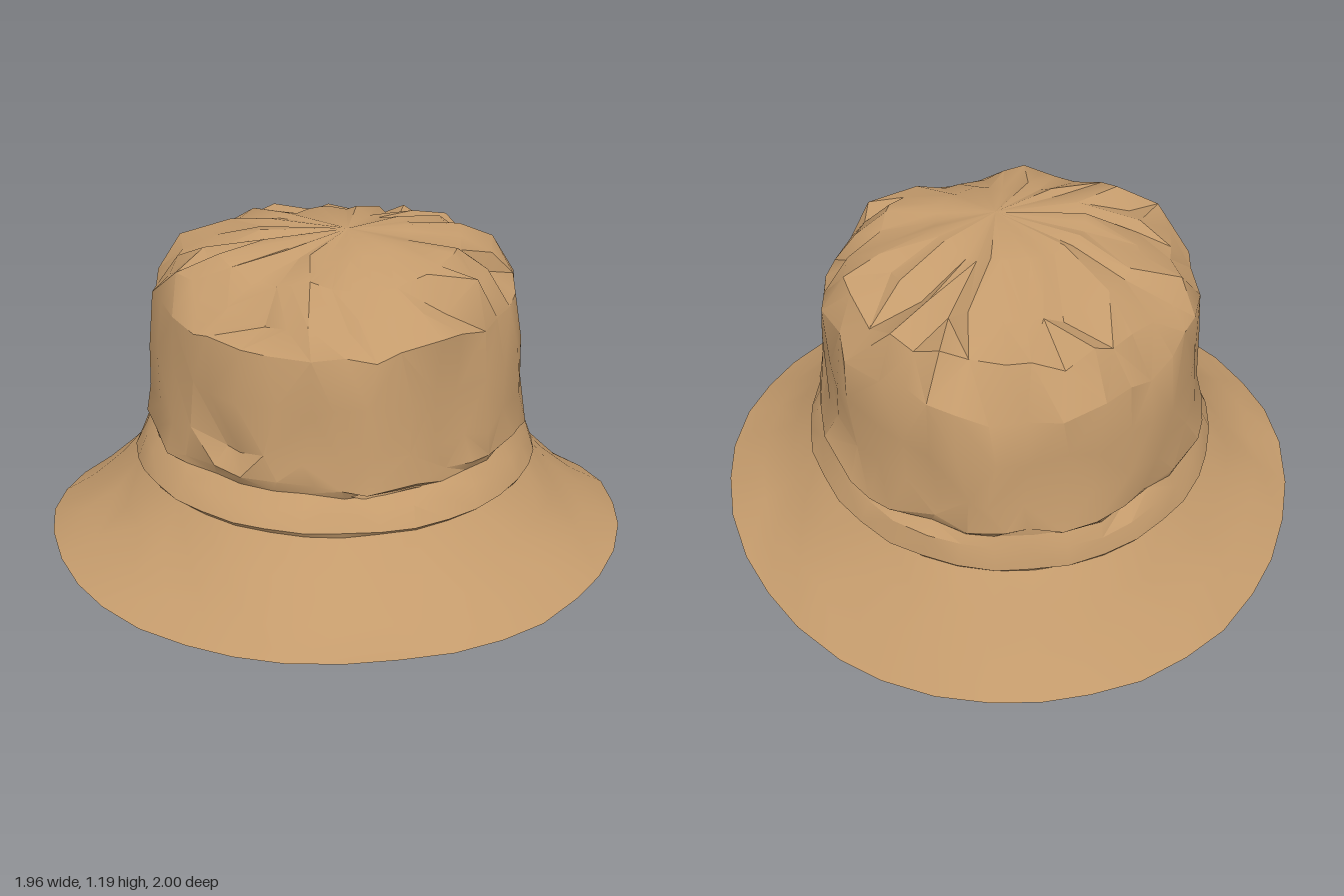
import * as THREE from 'three';
import { mergeVertices, toCreasedNormals } from 'three/addons/utils/BufferGeometryUtils.js';

const COLS = 36;

// Hat cross-section, top to rim: side radius, front z, back z, y at front / side / back, crumple
const ROWS = [
  [0, 0.0, 0.0, 1.205, 1.205, 1.205, 0],
  [0.24, 0.2, -0.25, 1.18, 1.185, 1.175, 0.012],
  [0.42, 0.36, -0.46, 1.14, 1.145, 1.1, 0.03],
  [0.55, 0.46, -0.61, 1.08, 1.085, 1.03, 0.035],
  [0.61, 0.53, -0.695, 0.98, 0.98, 0.9, 0.025],
  [0.617, 0.55, -0.715, 0.81, 0.81, 0.75, 0.02],
  [0.625, 0.565, -0.725, 0.65, 0.65, 0.6, 0.025],
  [0.645, 0.575, -0.735, 0.55, 0.54, 0.48, 0.025],
  [0.625, 0.565, -0.72, 0.53, 0.52, 0.46, 0.01],
  [0.65, 0.62, -0.74, 0.5, 0.48, 0.42, 0.008],
  [0.685, 0.66, -0.755, 0.45, 0.41, 0.35, 0.006],
  [0.67, 0.65, -0.745, 0.435, 0.4, 0.34, 0.004],
  [0.755, 0.75, -0.82, 0.335, 0.305, 0.245, 0.008],
  [0.86, 0.88, -0.905, 0.255, 0.23, 0.135, 0.01],
  [0.98, 1.0, -1.0, 0.21, 0.165, 0.012, 0.005],
];
const RIM = ROWS.length - 1;

// Pressed-in folds on the crown: x, y, z, reach, depth
const DENTS = [
  [0.1, 1.13, 0.4, 0.14, 0.06], [-0.25, 1.1, 0.4, 0.13, 0.05], [0.52, 1.08, 0.05, 0.16, 0.06],
  [-0.55, 1.08, -0.1, 0.15, 0.05], [0.1, 1.1, -0.52, 0.14, 0.04], [0.38, 0.75, 0.45, 0.14, 0.03],
  [-0.38, 0.62, 0.42, 0.13, 0.03], [-0.35, 0.5, -0.6, 0.15, 0.03], [0.35, 0.5, -0.6, 0.15, 0.03],
];

// Repeatable noise from -1 to 1
function noise(i, j, k) {
  const s = Math.sin(i * 127.1 + (j % COLS) * 311.7 + k * 74.7) * 43758.5453;
  return 2 * (s - Math.floor(s)) - 1;
}

// Point on the cloth; the inside layer is set in by the cloth thickness
function point(i, j, inside) {
  const [rx, zf, zb, yf, ys, yb, crumple] = ROWS[i];
  const u = ((j % COLS) / COLS) * Math.PI * 2 + noise(i, j, 1) * crumple * 2.2;
  const c = Math.cos(u), s = Math.sin(u);
  const p = new THREE.Vector3(
    rx * s + (i === 0 ? 0.04 : 0),
    ys + ((yf - yb) / 2) * c + ((yf + yb) / 2 - ys) * c * c,
    (zf + zb) / 2 + ((zf - zb) / 2) * c
  );
  const out = new THREE.Vector3(s, i < 4 ? 0.7 : 0, c).normalize();
  if (i > 0) p.addScaledVector(out, noise(i, j, 2) * crumple * 0.6);
  p.y += noise(i, j, 3) * crumple;
  // wavy brim edge, sagging between front and sides
  if (i > 11) p.y -= 0.022 * ((i - 11) / 3) * Math.sin(2 * u) ** 2;
  if (i > 0 && i < 9) {
    for (const [x, y, z, reach, depth] of DENTS) {
      const d = p.distanceTo(new THREE.Vector3(x, y, z));
      if (d < reach * 1.5) p.addScaledVector(out, -depth * Math.exp(-((d / reach) ** 2) * 2));
    }
  }
  if (inside && i < RIM) {
    p.x *= 0.97;
    p.z *= 0.97;
    p.y -= 0.022;
  }
  return p;
}

// Strip of cloth between two rows and two columns
function cloth(name, r0, r1, material, { inside = false, c0 = 0, c1 = COLS } = {}) {
  const pos = [];
  const tri = (a, b, c) => {
    for (const p of inside ? [a, c, b] : [a, b, c]) pos.push(p.x, p.y, p.z);
  };
  for (let i = r0; i < r1; i++) {
    for (let j = c0; j < c1; j++) {
      const a = point(i, j, inside), b = point(i + 1, j, inside);
      const c = point(i + 1, j + 1, inside), d = point(i, j + 1, inside);
      if (i === 0) tri(a, b, c);
      else if (noise(i, j, 4) > 0) { tri(a, b, c); tri(a, c, d); }
      else { tri(a, b, d); tri(b, c, d); }
    }
  }
  let geo = new THREE.BufferGeometry();
  geo.setAttribute('position', new THREE.Float32BufferAttribute(pos, 3));
  geo = toCreasedNormals(mergeVertices(geo, 1e-4), 0.5);
  const mesh = new THREE.Mesh(geo, material);
  mesh.name = name;
  return mesh;
}

export function createModel() {
  const tan = new THREE.MeshStandardMaterial({ color: 0xc49b6c, side: THREE.DoubleSide });
  tan.name = 'tan cloth';
  const grey = new THREE.MeshStandardMaterial({ color: 0x968f88, side: THREE.DoubleSide });
  grey.name = 'grey patch';

  const hat = new THREE.Group();
  hat.name = 'bucketHat';
  const back = COLS / 2;
  hat.add(
    // outside
    cloth('crown', 0, 8, tan),
    cloth('band', 8, 11, tan),
    cloth('brim', 11, RIM, tan),
    // inside
    cloth('crownLining', 0, 11, tan, { inside: true }),
    cloth('brimUnderside', 11, RIM, tan, { inside: true, c0: back + 3, c1: back - 3 + COLS }),
    cloth('brimUndersideBack', 11, 12, tan, { inside: true, c0: back - 3, c1: back + 3 }),
    cloth('backPatch', 12, RIM, grey, { inside: true, c0: back - 3, c1: back + 3 })
  );
  return hat;
}
